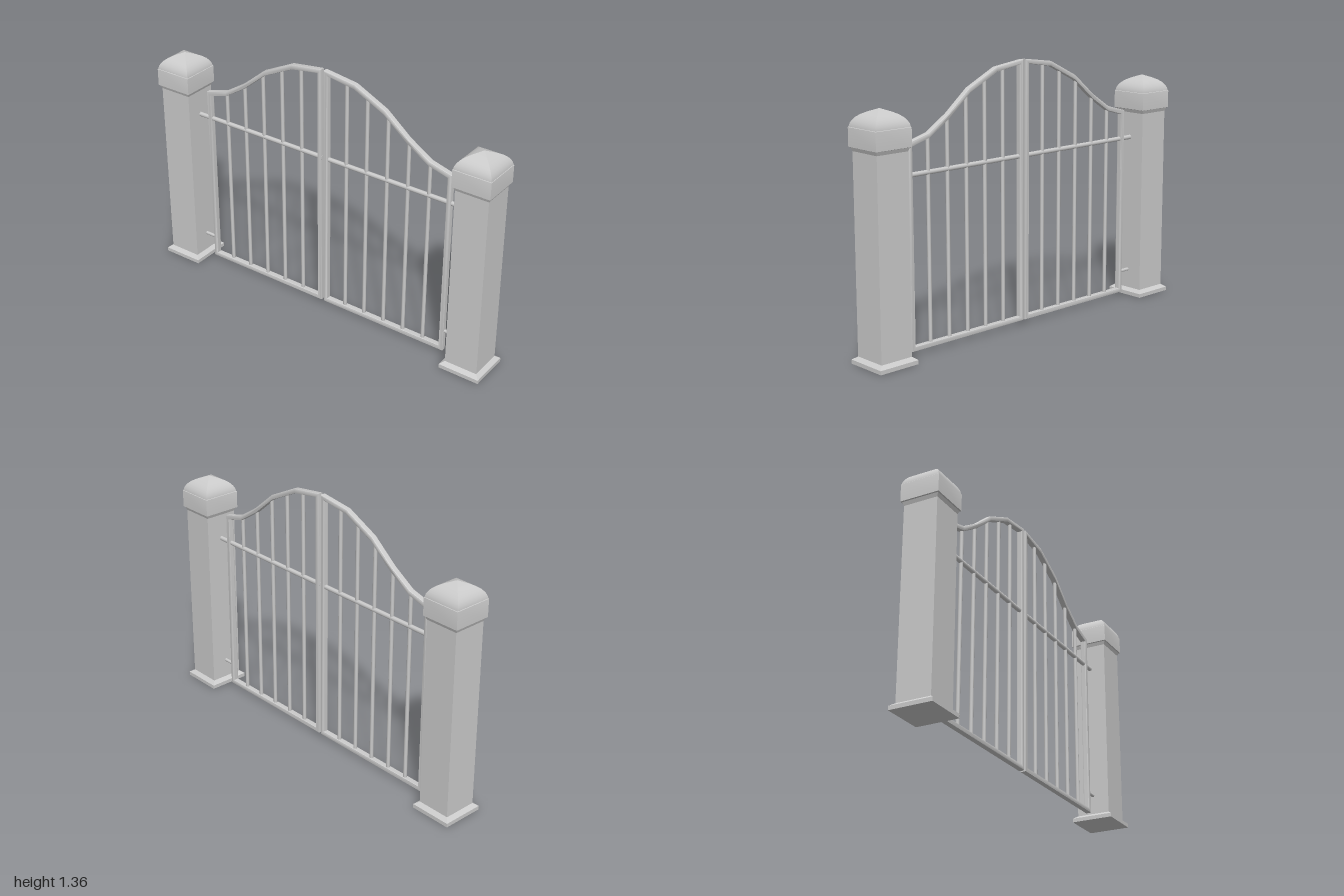
import * as THREE from 'three';
import { toCreasedNormals } from 'three/addons/utils/BufferGeometryUtils.js';

const material = new THREE.MeshStandardMaterial({ color: 0xcccccc });

function part(name, geometry, x = 0, y = 0, z = 0) {
  const mesh = new THREE.Mesh(geometry, material);
  mesh.name = name;
  mesh.position.set(x, y, z);
  return mesh;
}

// Square solid turned from a [half width, height] profile, bottom to top
function squareTurned(profile) {
  const points = profile.map(([r, y]) => new THREE.Vector2(r * Math.SQRT2, y));
  const geometry = new THREE.LatheGeometry(points, 4).rotateY(Math.PI / 4);
  return toCreasedNormals(geometry, 0.28);
}

function createPost(name, x) {
  const post = new THREE.Group();
  post.name = name;
  post.position.x = x;
  post.add(part('postBase', squareTurned([
    [0, 0], [0.111, 0], [0.111, 0.02], [0.089, 0.036], [0, 0.036],
  ])));
  post.add(part('postShaft', new THREE.BoxGeometry(0.178, 1.0, 0.178), 0, 0.52, 0));
  post.add(part('postCap', squareTurned([
    [0, 1.01], [0.089, 1.01], [0.096, 1.028], [0.102, 1.03], [0.102, 1.12], [0.1, 1.122],
    [0.096, 1.138], [0.089, 1.152], [0.078, 1.166], [0.062, 1.179], [0.04, 1.191], [0, 1.207],
  ])));
  return post;
}

// Outer edge of the leaf's sweeping top, from the meeting side to the hinge side
const topEdge = [
  [0.007, 1.358], [0.02, 1.361], [0.185, 1.336], [0.358, 1.252],
  [0.49, 1.143], [0.612, 1.065], [0.738, 1.03],
];
const inner = 0.007, outer = 0.738, bottom = 0.023, width = 0.024;

function topHeight(x) {
  const i = topEdge.findIndex(([px], k) => k > 0 && px >= x);
  const [x0, y0] = topEdge[i - 1], [x1, y1] = topEdge[i];
  return y0 + (y1 - y0) * (x - x0) / (x1 - x0);
}

// Closed outline of the leaf, inset by a given amount, running anticlockwise
function outline(inset) {
  const xs = [inner + inset, ...topEdge.slice(2, -1).map(([x]) => x), outer - inset];
  const points = xs.map(x => new THREE.Vector2(x, topHeight(x) - inset * 1.12));
  points.push(new THREE.Vector2(outer - inset, bottom + inset));
  points.push(new THREE.Vector2(inner + inset, bottom + inset));
  return points.reverse();
}

function createLeaf(name) {
  const leaf = new THREE.Group();
  leaf.name = name;

  // Frame with softened edges
  const bevel = 0.006;
  const shape = new THREE.Shape(outline(bevel));
  shape.holes.push(new THREE.Path(outline(width - bevel)));
  const frame = new THREE.ExtrudeGeometry(shape, {
    depth: 0.02, bevelEnabled: true, bevelThickness: bevel, bevelSize: bevel, bevelSegments: 2,
  });
  frame.translate(0, 0, -0.01);
  leaf.add(part('leafFrame', toCreasedNormals(frame, 0.6)));

  // Upright bars reaching the sweeping top
  for (let i = 1; i <= 5; i++) {
    const x = 0.017 + i * 0.119;
    const height = topHeight(x) - 0.012 - 0.035;
    const bar = new THREE.CylinderGeometry(0.01, 0.01, height, 8);
    leaf.add(part('uprightBar', bar, x, 0.035 + height / 2, 0));
  }

  // Cross rail running into the post, and the lower hinge pin
  const rail = (label, x0, x1, y, radius) => {
    const geometry = new THREE.CylinderGeometry(radius, radius, x1 - x0, 8).rotateZ(Math.PI / 2);
    leaf.add(part(label, geometry, (x0 + x1) / 2, y, 0));
  };
  rail('crossRail', inner, 0.81, 0.876, 0.012);
  rail('lowerHinge', 0.725, 0.81, 0.138, 0.009);
  return leaf;
}

export function createModel() {
  const gate = new THREE.Group();
  gate.name = 'gate';
  gate.add(createPost('leftPost', 0.889), createPost('rightPost', -0.889));
  const leftLeaf = createLeaf('leftLeaf');
  const rightLeaf = createLeaf('rightLeaf');
  rightLeaf.rotation.y = Math.PI;
  gate.add(leftLeaf, rightLeaf);
  return gate;
}
